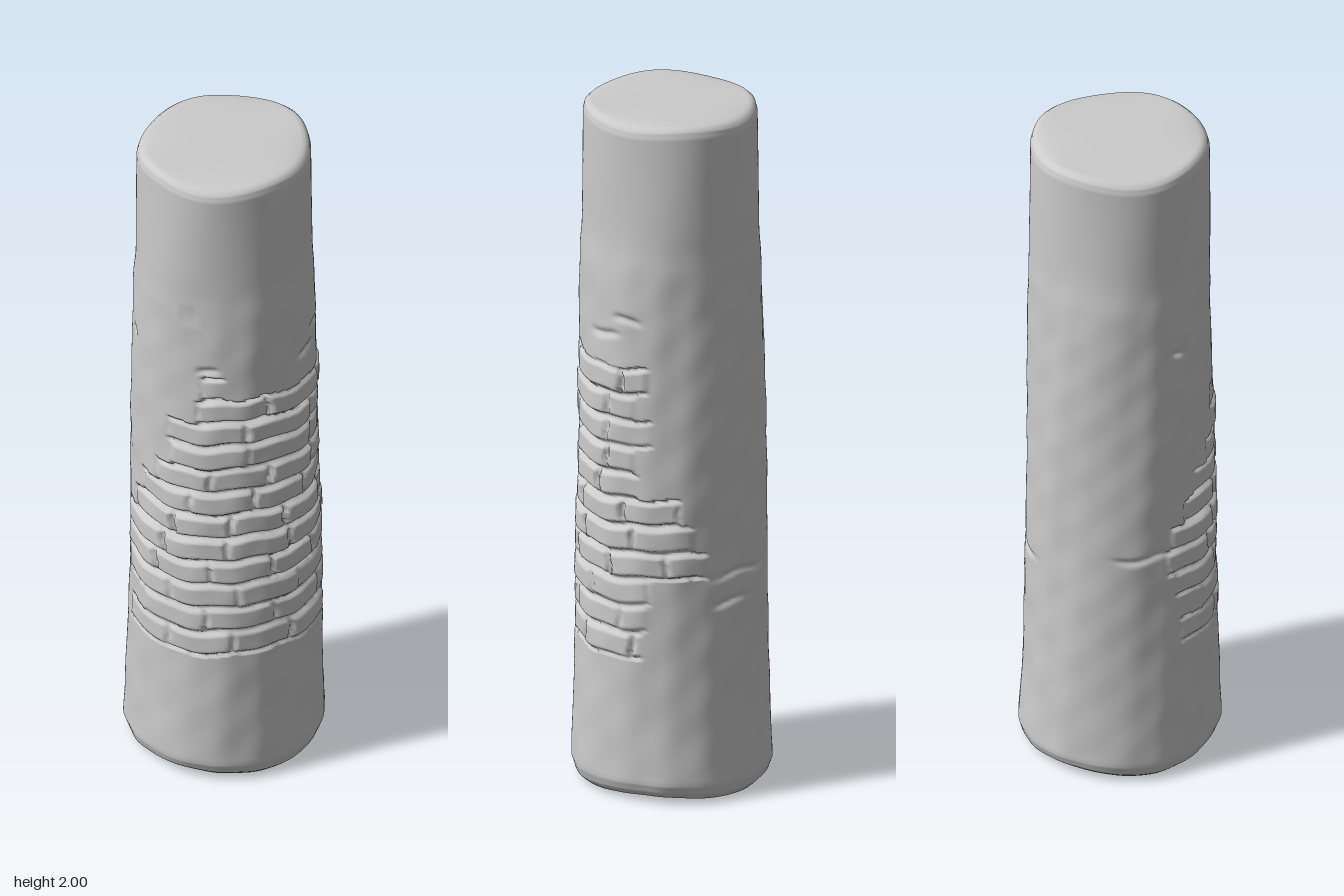
import * as THREE from 'three';
import { mergeVertices } from 'three/addons/utils/BufferGeometryUtils.js';

// Brick courses, bottom to top: [first angle, last angle], angle runs from +z towards +x
const COURSES = [
  [-0.7, 2.2], [-0.35, 2.25], [-0.75, 2.3], [-0.85, 2.9], [-0.8, 2.75], [-0.6, 2.6],
  [-0.45, 2.15], [-0.2, 2.1], [0.0, 2.3], [-0.05, 2.1], [0.3, 2.25], [0.35, 0.6],
];
const FIRST = 0.425, COURSE = 0.078;

// Column radius by height
const PROFILE = [
  [0, 0.25], [0.015, 0.268], [0.05, 0.279], [0.2, 0.275], [0.4, 0.27], [0.8, 0.264],
  [1.2, 0.259], [1.57, 0.252], [1.62, 0.248], [1.97, 0.245], [1.99, 0.24], [2, 0.228],
];

const smooth = THREE.MathUtils.smoothstep;

function radiusAt(y) {
  let i = 1;
  while (i < PROFILE.length - 1 && PROFILE[i][0] < y) i++;
  const [y0, r0] = PROFILE[i - 1], [y1, r1] = PROFILE[i];
  return r0 + (r1 - r0) * (y - y0) / (y1 - y0);
}

function hash(n) {
  const s = Math.sin(n * 127.1 + 11.7) * 43758.5453;
  return s - Math.floor(s);
}

// Gentle unevenness of the plaster
function plaster(a, y) {
  return 0.0022 * Math.sin(3 * a + 2.3 * y) + 0.0015 * Math.sin(5 * a - 7 * y + 1)
    + (0.0014 * Math.sin(9 * a + 13 * y) * Math.sin(17 * y - 4 * a)
    + 0.001 * Math.sin(14 * a - 23 * y) * Math.sin(19 * y + 3 * a)) * (1 - smooth(y, 1.5, 1.7));
}

// Rounded bricks standing between sunken mortar joints
function bricks(a, y) {
  const wavy = y + 0.005 * Math.sin(4 * a + 1) + 0.003 * Math.sin(11 * a + 9 * y);
  const v = (wavy - FIRST) / COURSE;
  const row = Math.floor(v);
  if (row < 0 || row >= COURSES.length) return 0;
  const [from, to] = COURSES[row];
  const inside = smooth(a, from - 0.03, from + 0.05) * (1 - smooth(a, to - 0.05, to + 0.03));
  if (inside === 0) return 0;

  // distance to the nearest bed joint and upright joint
  const bed = Math.min(v - row, row + 1 - v) * COURSE;
  const length = 0.62 + 0.3 * hash(row + 40);
  const u = (a - from + 0.012 * Math.sin(90 * y)) / length + 0.02;
  const cell = Math.floor(u);
  const upright = Math.min(u - cell, cell + 1 - u) * length * 0.26;

  const id = row * 17 + cell;
  const strength = 0.55 + 0.45 * hash(id + 3);
  const bedCut = 1 - smooth(bed, 0.002, 0.014);
  const uprightCut = (1 - smooth(upright, 0.002, 0.012)) * (0.3 + 0.7 * hash(id + 8));
  const face = 0.008 * hash(id + 21) - 0.001;
  const fade = row < 3 ? 0.7 : 1;
  return inside * fade * (face - 0.021 * strength * Math.max(bedCut, uprightCut));
}

// Shallow cracks and chips on the otherwise plain faces: [angle, height, half width]
const CRACKS = [
  [3.4, 0.66, 0.4], [3.2, 0.58, 0.22], [-1.1, 0.74, 0.3], [0.42, 1.38, 0.12],
  [2.0, 1.42, 0.16], [1.7, 1.37, 0.2], [-0.7, 1.4, 0.06], [0.2, 1.56, 0.1],
];
function cracks(a, y) {
  let d = 0;
  for (const [ca, cy, w] of CRACKS) {
    const da = Math.atan2(Math.sin(a - ca), Math.cos(a - ca)) / w;
    const dy = (y - cy + 0.006 * Math.sin(9 * a)) / 0.01;
    d -= 0.009 * Math.exp(-Math.pow(da, 4) - dy * dy);
  }
  return d;
}

function columnGeometry() {
  // Lathe profile: bottom cap, finely stepped side, top cap
  const pts = [];
  const push = (r, y) => pts.push(new THREE.Vector2(r, y));
  for (const t of [0, 0.4, 0.8, 0.95]) push(0.25 * t, 0);
  const add = (y0, y1, n) => {
    for (let i = 0; i < n; i++) {
      const y = y0 + (y1 - y0) * i / n;
      push(radiusAt(y), y);
    }
  };
  add(0, 0.05, 6);
  add(0.05, 0.41, 20);
  add(0.41, 1.46, 210);
  add(1.46, 1.96, 20);
  add(1.96, 2, 8);
  for (const t of [1, 0.95, 0.8, 0.4, 0]) push(0.228 * t, 2);

  let geo = new THREE.LatheGeometry(pts, 220);
  const p = geo.attributes.position;
  for (let i = 0; i < p.count; i++) {
    const x = p.getX(i), z = p.getZ(i), y = p.getY(i);
    const r = Math.hypot(x, z);
    if (r < 1e-6) { p.setXYZ(i, 0, y, 0); continue; }
    let a = Math.atan2(x, z);
    if (a < -1.6) a += Math.PI * 2;
    const rim = Math.min(1, r / 0.22);
    const s = r + rim * (plaster(a, y) + bricks(a, y) + cracks(a, y));

    // upper shaft is slightly oval, both ends have an uneven rim
    const oval = 0.022 * smooth(y, 1.5, 1.7);
    const edge = smooth(r, 0.18, 0.25);
    const foot = (1 - smooth(y, 0, 0.1)) * edge * (0.009 + 0.007 * Math.sin(3 * a + 1));
    const head = smooth(y, 1.9, 2) * edge * (0.006 + 0.006 * Math.sin(4 * a));
    const back = 0.01 * (1 - smooth(y, 0, 0.25));
    p.setXYZ(i, s * Math.sin(a) * (1 - oval) + 0.003 * smooth(y, 1.4, 2),
      y + foot - head, s * Math.cos(a) * (1 + oval) + back * Math.cos(a) * (z < 0 ? 1 : 0));
  }

  // close the seam, then shade smoothly
  geo.deleteAttribute('uv');
  geo.deleteAttribute('normal');
  geo = mergeVertices(geo, 1e-5);
  geo.computeVertexNormals();
  return geo;
}

export function createModel() {
  const group = new THREE.Group();
  group.name = 'weatheredColumn';
  const column = new THREE.Mesh(columnGeometry(), new THREE.MeshStandardMaterial({ color: 0xcccccc }));
  column.name = 'plasteredBrickShaft';
  group.add(column);
  return group;
}
